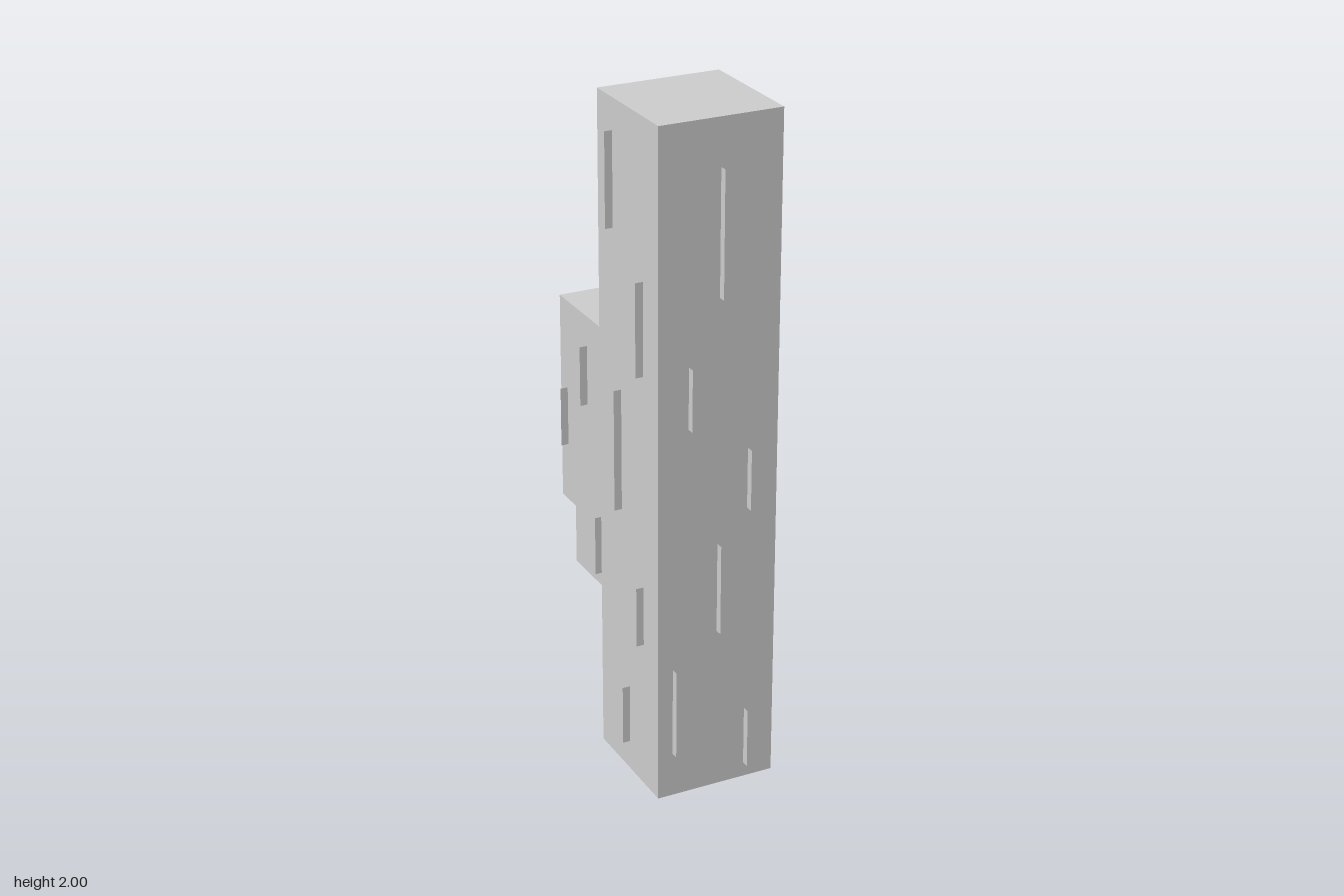
import * as THREE from 'three';

// The cactus sits on a grid of 44 units in height.
const U = 1 / 22;
const SPINE = 0.5; // how far a spine stands out

export function createModel() {
  const model = new THREE.Group();
  model.name = 'cactus';
  const green = new THREE.MeshStandardMaterial({ color: 0xcccccc, flatShading: true });
  const thin = new THREE.MeshStandardMaterial({ color: 0xcccccc, side: THREE.DoubleSide });

  // Square trunk
  const trunk = new THREE.Mesh(new THREE.BoxGeometry(8 * U, 44 * U, 8 * U), green);
  trunk.name = 'trunk';
  trunk.position.set(0, 22 * U, 4 * U);
  model.add(trunk);

  // Bent arm behind the trunk: side outline [distance back, height]
  const outline = [[0, 10], [6, 10], [6, 14], [8, 14], [8, 28], [2, 28], [2, 16], [0, 16]];
  const shape = new THREE.Shape(outline.map(([d, y]) => new THREE.Vector2(d * U, y * U)));
  const armGeometry = new THREE.ExtrudeGeometry(shape, { depth: 6 * U, bevelEnabled: false });
  armGeometry.translate(0, 0, -3 * U).rotateY(Math.PI / 2);
  const arm = new THREE.Mesh(armGeometry, green);
  arm.name = 'arm';
  model.add(arm);

  // Flat spines standing out of one face; each is [position along face, bottom, top]
  function addSpines(name, axis, face, sign, list) {
    const group = new THREE.Group();
    group.name = name;
    for (const [along, bottom, top] of list) {
      const spine = new THREE.Mesh(new THREE.PlaneGeometry(SPINE * U, (top - bottom) * U), thin);
      spine.name = 'spine';
      const out = face + sign * SPINE / 2;
      const y = (bottom + top) / 2;
      if (axis === 'x') {
        spine.position.set(out * U, y * U, along * U);
      } else {
        spine.position.set(along * U, y * U, out * U);
        spine.rotation.y = Math.PI / 2;
      }
      group.add(spine);
    }
    model.add(group);
  }

  addSpines('trunkFrontSpines', 'z', 8, 1,
    [[0, 33, 41], [-2, 25, 29], [2, 19, 23], [0, 11, 17], [-3, 3, 9], [2, 1, 5]]);
  addSpines('trunkLeftSpines', 'x', 4, 1,
    [[4, 33, 41], [6, 25, 29], [2, 19, 23], [4, 11, 15], [7, 3, 9], [2, 1, 5]]);
  addSpines('trunkBackSpines', 'z', 0, -1,
    [[2, 36, 42], [-2, 28, 34], [1, 18, 26], [-2, 6, 10], [0, 2, 6]]);
  addSpines('trunkRightSpines', 'x', -4, -1,
    [[2, 36, 42], [6, 28, 34], [3, 18, 26], [6, 10, 14], [4, 2, 6]]);
  addSpines('armLeftSpines', 'x', 3, 1, [[-6, 19, 25], [-4, 13, 17]]);
  addSpines('armRightSpines', 'x', -3, -1, [[-4, 22, 26], [-7, 18, 22], [-2, 11, 15]]);
  addSpines('armBackSpines', 'z', -8, -1, [[2, 22, 26], [-0.5, 20, 24]]);

  return model;
}
